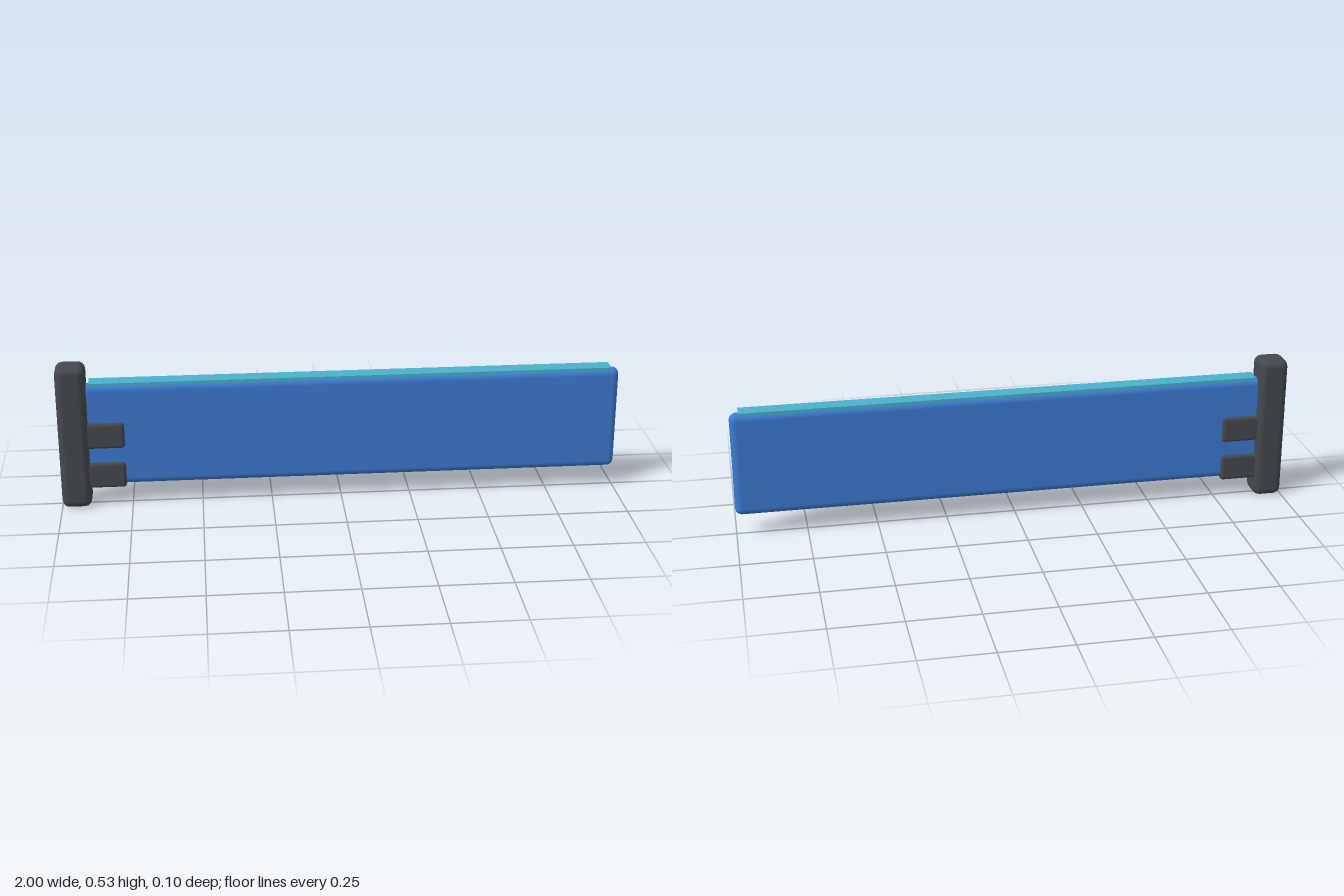
import * as THREE from 'three';
import { RoundedBoxGeometry } from 'three/addons/geometries/RoundedBoxGeometry.js';

function material(name, color) {
  const m = new THREE.MeshStandardMaterial({ color });
  m.name = name;
  return m;
}

export function createModel() {
  const group = new THREE.Group();
  group.name = 'barrierArm';
  const darkGrey = material('darkGrey', 0x45494e);
  const blue = material('blue', 0x3c7ad2);
  const cyan = material('cyan', 0x4ab0cc);

  // Box given by its x and y limits and its depth, with optional rounded edges
  function block(name, mat, [x0, x1], [y0, y1], depth, radius = 0, segments = 2) {
    const w = x1 - x0, h = y1 - y0;
    const geometry = radius
      ? new RoundedBoxGeometry(w, h, depth, segments, radius)
      : new THREE.BoxGeometry(w, h, depth);
    const mesh = new THREE.Mesh(geometry, mat);
    mesh.name = name;
    mesh.position.set((x0 + x1) / 2, (y0 + y1) / 2, 0);
    group.add(mesh);
  }

  // Upright post and the long panel it carries
  block('post', darkGrey, [-1, -0.895], [0, 0.528], 0.105, 0.026, 2);
  block('panel', blue, [-0.92, 1], [0.076, 0.456], 0.052, 0.025, 4);

  // Flat strip capping the top edge
  block('topStrip', cyan, [-0.885, 0.968], [0.452, 0.464], 0.06);

  // Two brackets clasping the panel beside the post
  for (const y of [0.069, 0.219]) {
    block('bracket', darkGrey, [-0.915, -0.768], [y, y + 0.096], 0.073, 0.012, 2);
  }
  return group;
}
